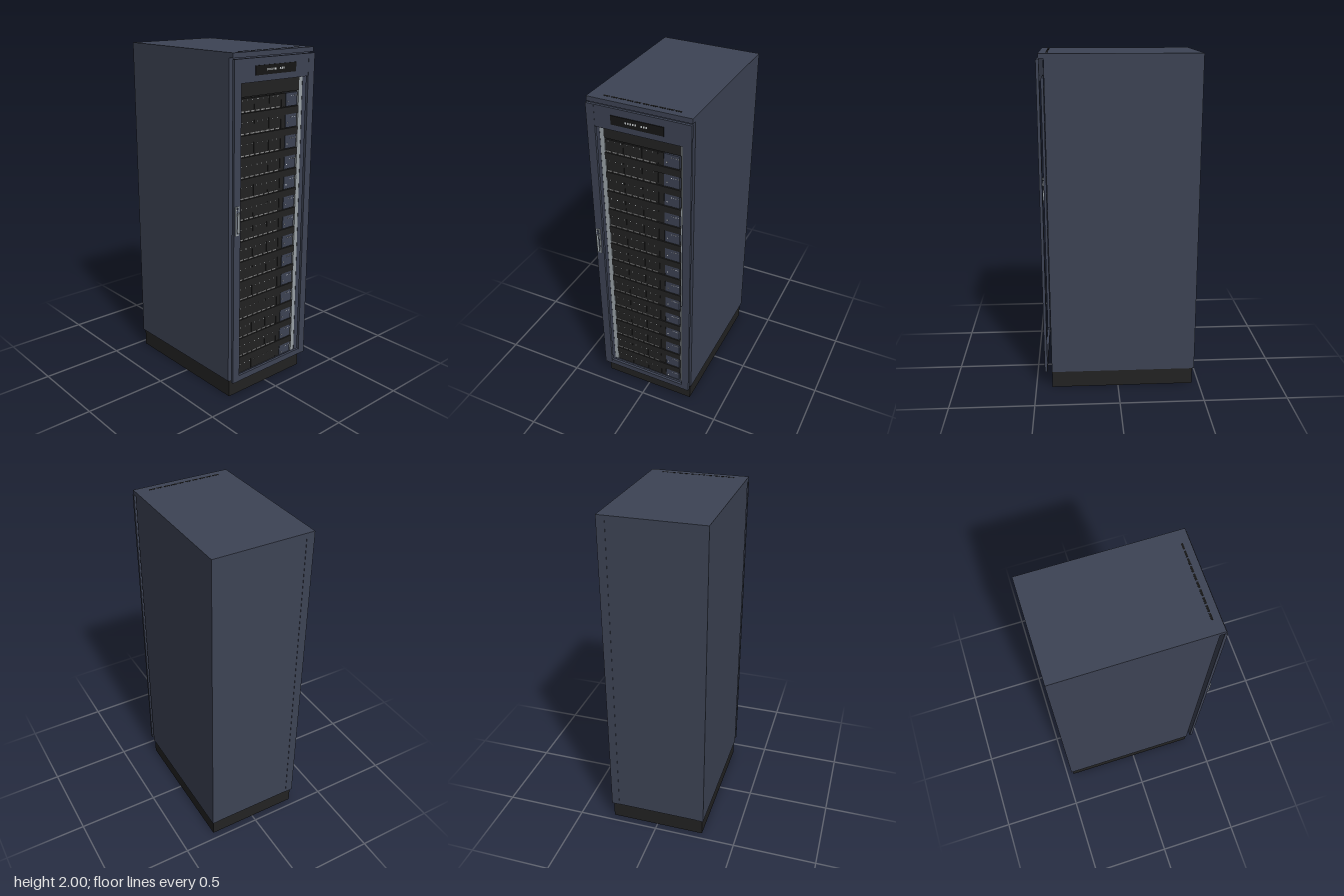
import * as THREE from 'three';
import { mergeGeometries } from 'three/addons/utils/BufferGeometryUtils.js';

const material = (name, color) => {
  const m = new THREE.MeshStandardMaterial({ color });
  m.name = name;
  return m;
};

// Box from its minimum and maximum corners
const boxGeo = (x0, x1, y0, y1, z0, z1) =>
  new THREE.BoxGeometry(x1 - x0, y1 - y0, z1 - z0)
    .translate((x0 + x1) / 2, (y0 + y1) / 2, (z0 + z1) / 2);

export function createModel() {
  const model = new THREE.Group();
  model.name = 'serverCabinet';
  const slate = material('slateBlue', 0x3d4354);
  const black = material('black', 0x222222);
  const screen = material('screenBlack', 0x161616);
  const steel = material('steel', 0x9ba3a8);
  const vent = material('ventGrey', 0x8f8f8f);
  const light = material('indicatorWhite', 0xd0d4d6);

  const add = (parent, name, mat, ...geos) => {
    const mesh = new THREE.Mesh(geos.length > 1 ? mergeGeometries(geos) : geos[0], mat);
    mesh.name = name;
    parent.add(mesh);
    return mesh;
  };
  const group = (name) => {
    const g = new THREE.Group();
    g.name = name;
    model.add(g);
    return g;
  };

  // Plinth and outer shell
  add(model, 'plinth', black, boxGeo(-0.29, 0.29, 0, 0.105, -0.457, 0.402));
  const shell = group('shell');
  for (const s of [-1, 1]) {
    const a = s * 0.298, b = s * 0.25;
    add(shell, s > 0 ? 'leftSide' : 'rightSide', slate,
      boxGeo(Math.min(a, b), Math.max(a, b), 0.105, 1.973, -0.468, 0.403));
  }
  add(shell, 'backPanel', slate, boxGeo(-0.25, 0.25, 0.105, 1.973, -0.466, -0.44));
  add(shell, 'floor', slate, boxGeo(-0.25, 0.25, 0.105, 0.125, -0.44, 0.403));
  add(shell, 'frontHeader', slate, boxGeo(-0.25, 0.25, 1.85, 1.973, 0.37, 0.403));
  add(shell, 'roof', slate, boxGeo(-0.298, 0.298, 1.973, 2, -0.468, 0.434));
  add(shell, 'interior', black, boxGeo(-0.25, 0.25, 0.125, 1.85, -0.44, 0.385));

  // Slots along the front of the roof
  const slots = [];
  for (let i = 0; i < 10; i++) {
    const x = (i - 4.5) * 0.0449;
    slots.push(boxGeo(x - 0.018, x + 0.018, 1.996, 2.001, 0.384, 0.395));
  }
  add(shell, 'roofSlots', screen, ...slots);

  // Mounting rails
  const rack = group('rack');
  add(rack, 'rightRail', steel, boxGeo(-0.25, -0.224, 0.125, 1.85, 0.385, 0.402));
  add(rack, 'leftRail', steel, boxGeo(0.223, 0.25, 0.125, 1.85, 0.385, 0.402));
  add(rack, 'topBlank', black, boxGeo(-0.226, 0.223, 1.763, 1.85, 0.385, 0.404));

  // Stacked servers, each over a blanking bar
  for (let i = 0; i < 14; i++) {
    const top = 1.755 - i * 0.1204;
    const bottom = Math.max(top - 0.077, 0.125);
    const server = new THREE.Group();
    server.name = 'server' + (i + 1);
    rack.add(server);
    add(server, 'driveBays', black,
      ...[[-0.222, -0.116], [-0.114, -0.006], [-0.004, 0.088], [0.09, 0.122]]
        .map(([a, b]) => boxGeo(a, b, bottom, top, 0.385, 0.4)));
    add(server, 'controlPanel', slate, boxGeo(0.124, 0.213, bottom + 0.002, top, 0.385, 0.402));

    const dots = [], dashes = [];
    for (let j = 0; j < 8; j++) {
      const x = -0.204 + j * 0.0377;
      dots.push(boxGeo(x - 0.002, x + 0.002, top - 0.012, top - 0.007, 0.398, 0.402));
      dashes.push(boxGeo(x - 0.014, x + 0.014, top - 0.075, top - 0.067, 0.398, 0.402));
    }
    for (let j = 0; j < 4; j++) {
      const x = 0.167 + j * 0.013;
      dots.push(boxGeo(x - 0.002, x + 0.002, top - 0.02, top - 0.015, 0.4, 0.404));
    }
    dots.push(boxGeo(0.137, 0.143, top - 0.052, top - 0.045, 0.4, 0.404));
    add(server, 'indicators', light, ...dots);
    if (i < 13) {
      add(server, 'ventDashes', vent, ...dashes);
      add(server, 'blankingBar', black, boxGeo(-0.227, 0.223, top - 0.12, top - 0.079, 0.385, 0.405));
    }
  }

  // Open-framed front door
  const door = group('door');
  add(door, 'rightStile', slate, boxGeo(-0.298, -0.25, 0.108, 1.968, 0.429, 0.446));
  add(door, 'leftStile', slate, boxGeo(0.25, 0.298, 0.108, 1.968, 0.429, 0.446));
  add(door, 'topRail', slate, boxGeo(-0.25, 0.25, 1.843, 1.968, 0.429, 0.445));
  add(door, 'bottomRail', slate, boxGeo(-0.25, 0.25, 0.108, 0.143, 0.429, 0.445));

  // Status display with a plain row of lit segments
  add(door, 'display', screen, boxGeo(-0.153, 0.148, 1.877, 1.928, 0.442, 0.449));
  const segments = [-0.066, -0.052, -0.038, -0.024, -0.01, 0.025, 0.039, 0.053]
    .map((x) => boxGeo(x - 0.004, x + 0.004, 1.898, 1.909, 0.448, 0.45));
  add(door, 'displaySegments', light, ...segments);

  // Swing handle: plate, two stubs and a rounded grip
  const handle = group('handle');
  add(handle, 'handlePlate', steel, boxGeo(-0.29, -0.264, 1.02, 1.186, 0.446, 0.451));
  add(handle, 'handleRecess', slate, boxGeo(-0.284, -0.27, 1.03, 1.165, 0.45, 0.452));
  for (const y of [1.05, 1.14]) {
    add(handle, 'handleStub', steel, boxGeo(-0.28, -0.274, y - 0.008, y + 0.008, 0.45, 0.462));
  }
  add(handle, 'handleGrip', steel,
    new THREE.CylinderGeometry(0.0065, 0.0065, 0.115, 16).translate(-0.277, 1.095, 0.462));
  add(handle, 'handleLock', slate,
    new THREE.CylinderGeometry(0.006, 0.006, 0.006, 16).rotateX(Math.PI / 2).translate(-0.277, 1.175, 0.453));

  return model;
}
